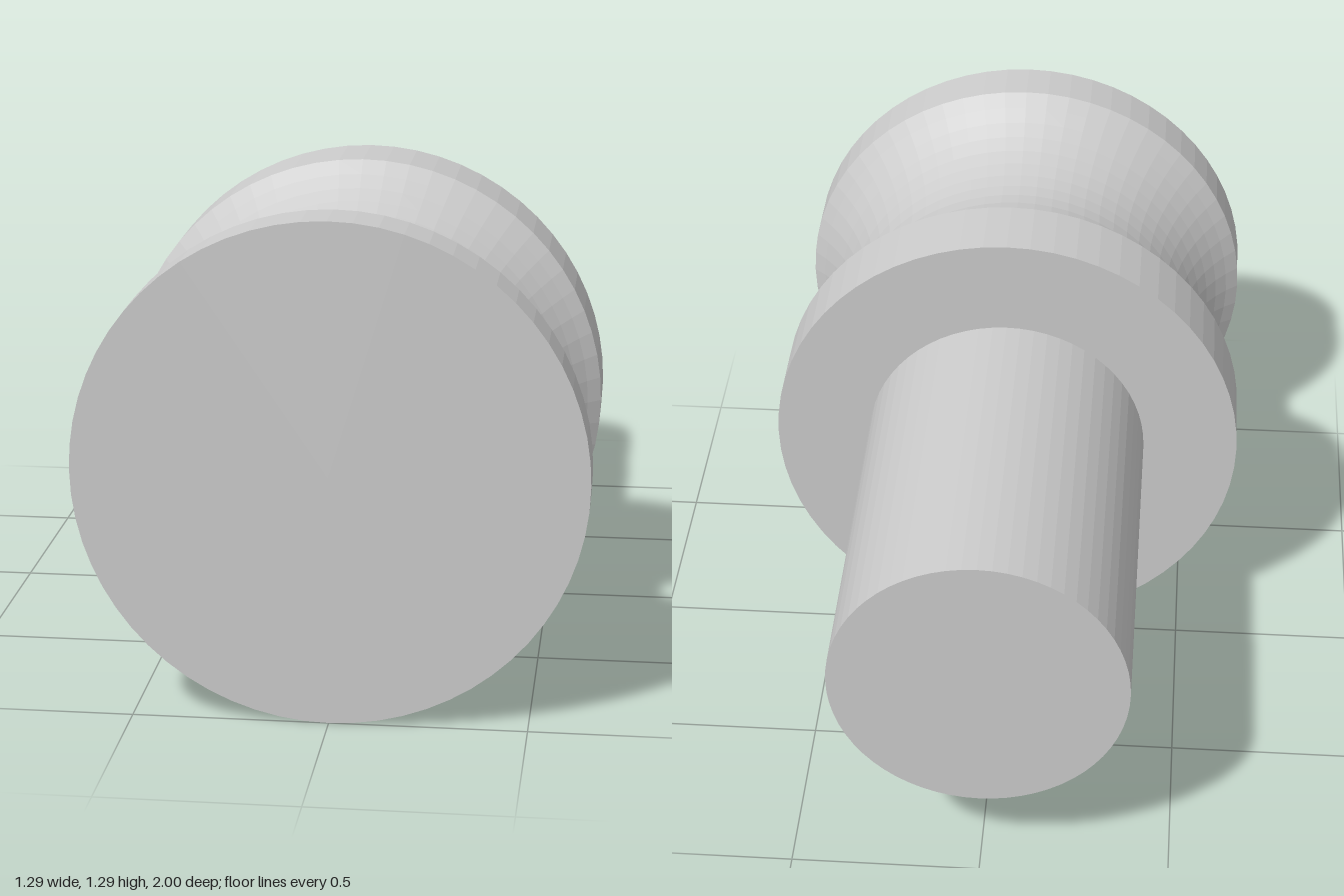
import * as THREE from 'three';

const SIDES = 64;
const AXIS_Y = 0.645; // height of the turning axis

// Revolves [radius, z] points, listed back to front, around the z axis.
function turned(name, points) {
  const profile = points.map(([r, z]) => new THREE.Vector2(r, z));
  const geometry = new THREE.LatheGeometry(profile, SIDES);
  geometry.rotateX(Math.PI / 2);
  const material = new THREE.MeshStandardMaterial({ color: 0xcccccc, flatShading: true });
  const mesh = new THREE.Mesh(geometry, material);
  mesh.name = name;
  mesh.position.y = AXIS_Y;
  return mesh;
}

// Concave arc of the groove between two rims of equal radius.
function grooveArc(rimR, neckR, z0, z1, steps) {
  const half = (z1 - z0) / 2;
  const sag = rimR - neckR;
  const arcR = (half * half + sag * sag) / (2 * sag);
  const sweep = Math.asin(half / arcR);
  return Array.from({ length: steps + 1 }, (_, i) => {
    const a = -sweep + (2 * sweep * i) / steps;
    return [neckR + arcR - arcR * Math.cos(a), (z0 + z1) / 2 + arcR * Math.sin(a)];
  });
}

export function createModel() {
  const group = new THREE.Group();
  group.name = 'groovedKnob';

  const rimR = 0.645, neckR = 0.49, shankR = 0.385;
  const back = -1, shoulder = 0.035, grooveBack = 0.235, grooveFront = 0.865, front = 1;

  // Plain shank with a flat back end
  group.add(turned('shank', [[0, back], [shankR, back], [shankR, shoulder]]));

  // Rear flange with its shoulder face
  group.add(turned('rearFlange', [[shankR, shoulder], [rimR, shoulder], [rimR, grooveBack]]));

  // Rounded groove
  group.add(turned('groove', grooveArc(rimR, neckR, grooveBack, grooveFront, 16)));

  // Front flange with its flat face
  group.add(turned('frontFlange', [[rimR, grooveFront], [rimR, front], [0, front]]));

  return group;
}
